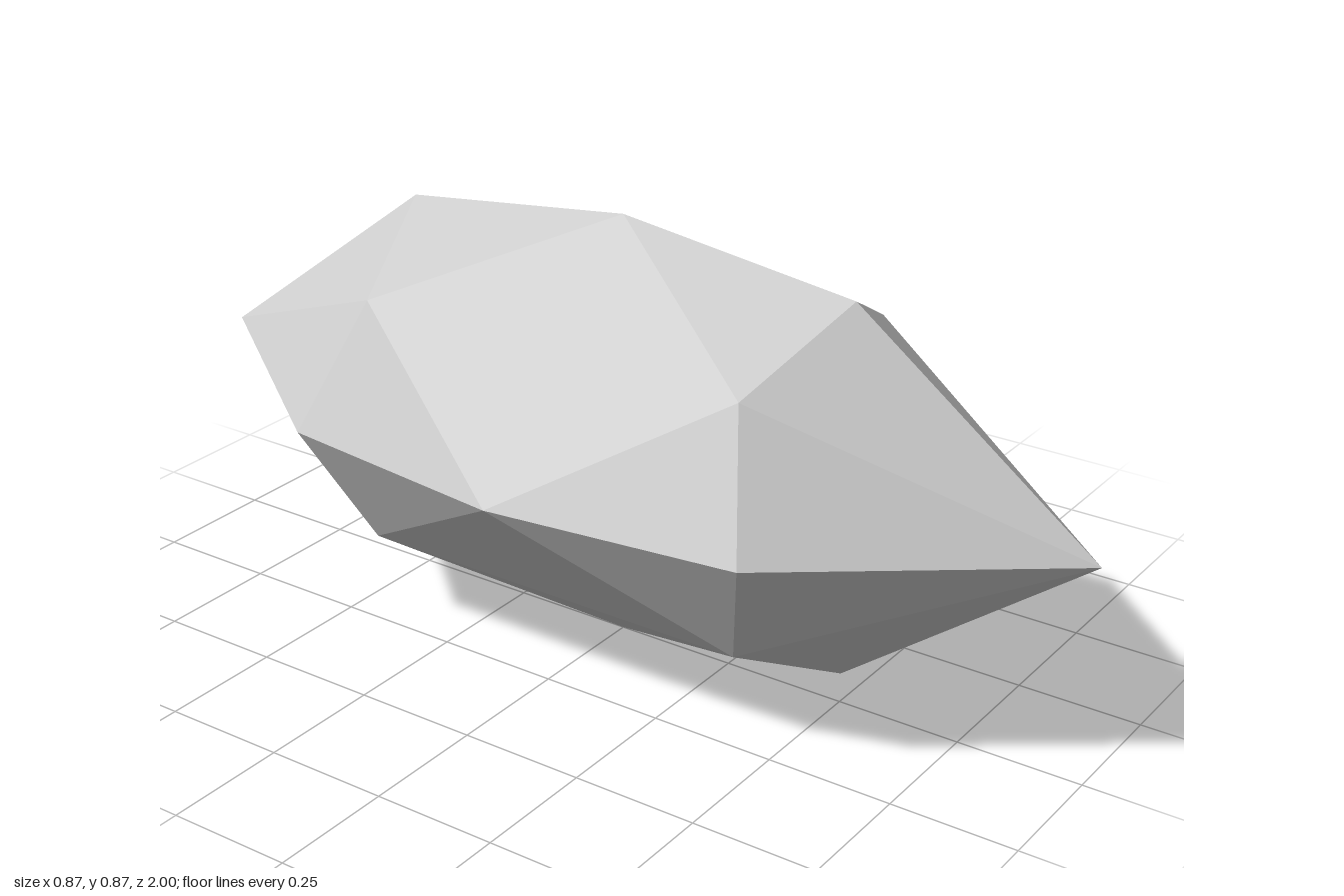
import * as THREE from 'three';
import { ConvexGeometry } from 'three/addons/geometries/ConvexGeometry.js';

const RADIUS = 0.436; // widest reach in x and y, also the height of the centre

export function createModel() {
  const group = new THREE.Group();
  group.name = 'crystal';

  const points = [];
  const add = (x, y, z) => points.push(new THREE.Vector3(x, y, z));

  for (const s of [-1, 1]) {
    // long pointed tips and the girdle points
    add(0, 0, s);
    add(s * RADIUS, 0, 0);
    add(0, s * RADIUS, 0);
    for (const t of [-1, 1]) {
      // shoulders where the body meets the tips
      add(s * 0.375, 0, t * 0.5);
      add(0, s * 0.375, t * 0.5);
      // bevelled diagonal corners
      for (const u of [-1, 1]) add(s * 0.25, u * 0.25, t * 0.418);
    }
  }

  const gem = new THREE.Mesh(
    new ConvexGeometry(points),
    new THREE.MeshStandardMaterial({ color: 0xcccccc, flatShading: true })
  );
  gem.name = 'facetedGem';
  gem.position.y = RADIUS;
  group.add(gem);
  return group;
}
